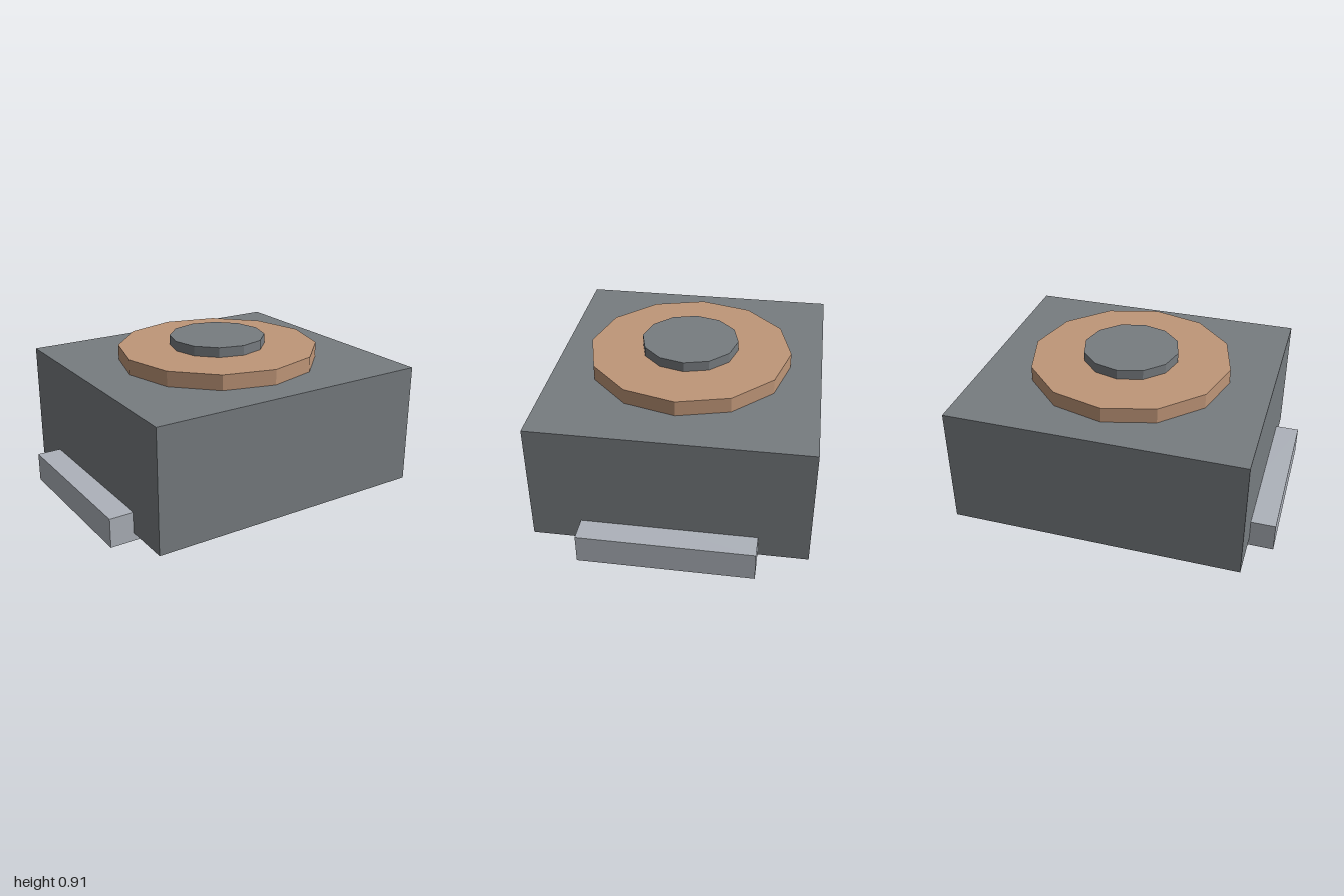
import * as THREE from 'three';

const flat = (name, color) => {
  const m = new THREE.MeshStandardMaterial({ color, flatShading: true });
  m.name = name;
  return m;
};

export function createModel() {
  const grey = flat('ferrite grey', 0x777c80);
  const copper = flat('copper', 0xbf9678);
  const silver = flat('tinned silver', 0xadb2ba);
  const group = new THREE.Group();

  const add = (name, geometry, material, x, y) => {
    const mesh = new THREE.Mesh(geometry, material);
    mesh.name = name;
    mesh.position.set(x, y, 0);
    group.add(mesh);
  };
  // Twelve-sided disc standing between two heights
  const disc = (name, radius, bottom, top, material) =>
    add(name, new THREE.CylinderGeometry(radius, radius, top - bottom, 12), material, 0, (top + bottom) / 2);

  // Block housing, raised slightly on its terminals
  add('body', new THREE.BoxGeometry(1.714, 0.714, 1.57), grey, 0, 0.403);

  // Winding and the core that rises through it
  disc('winding', 0.6, 0.76, 0.85, copper);
  disc('core', 0.286, 0.85, 0.908, grey);

  // Terminals wrapped under the lower edges
  for (const side of [-1, 1]) {
    add(side > 0 ? 'leftTerminal' : 'rightTerminal',
      new THREE.BoxGeometry(0.286, 0.171, 1), silver, side * 0.857, 0.0855);
  }
  return group;
}
